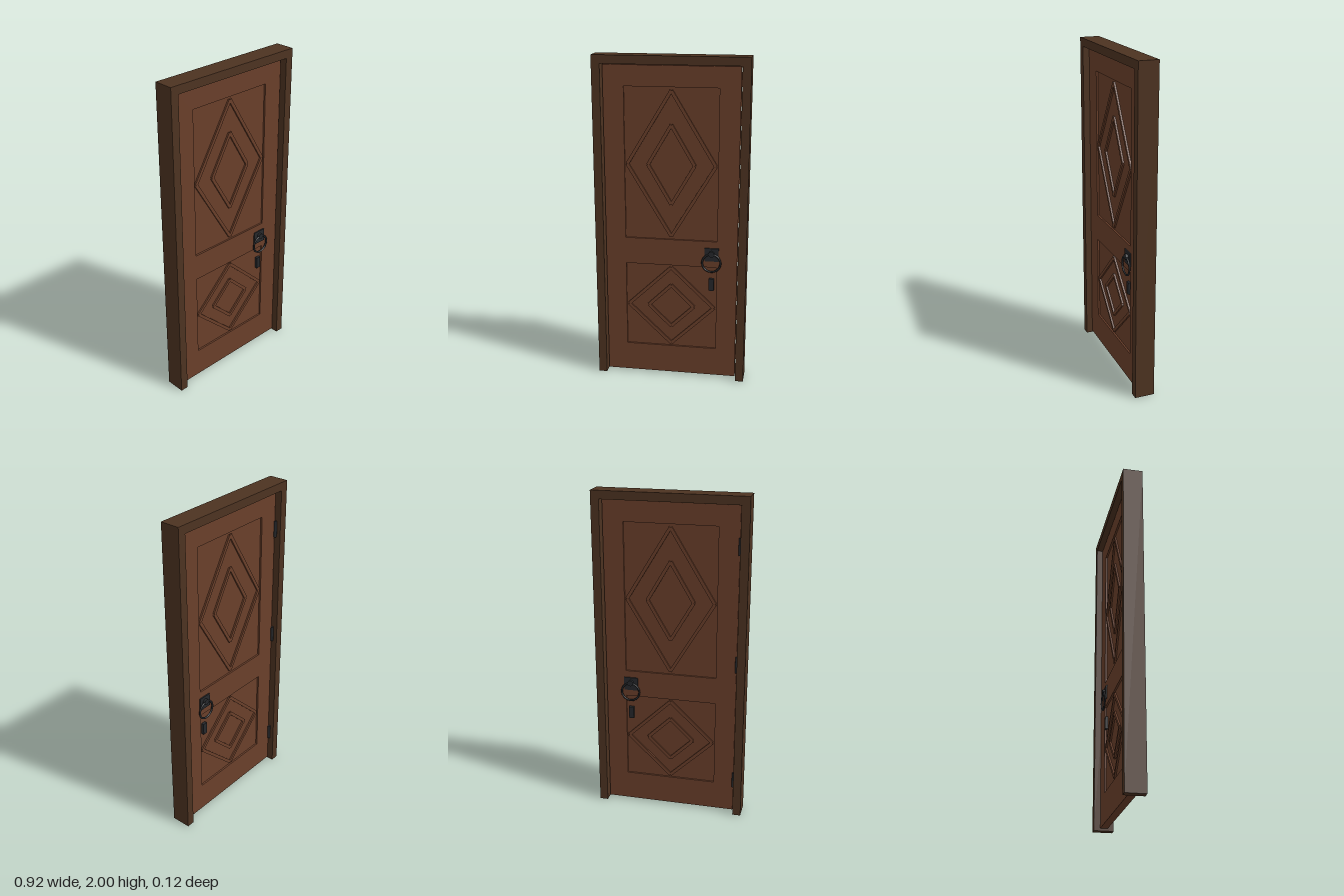
import * as THREE from 'three';

const mat = (name, color) => {
  const m = new THREE.MeshStandardMaterial({ color });
  m.name = name;
  return m;
};

export function createModel() {
  const frameWood = mat('dark frame wood', 0x4d3321);
  const doorWood = mat('red brown door wood', 0x6a3f2a);
  const iron = mat('black iron', 0x26282b);

  const root = new THREE.Group();
  root.name = 'door';

  const add = (parent, name, geo, material, x = 0, y = 0, z = 0) => {
    const mesh = new THREE.Mesh(geo, material);
    mesh.name = name;
    mesh.position.set(x, y, z);
    parent.add(mesh);
    return mesh;
  };
  const box = (parent, name, w, h, d, material, x, y, z) =>
    add(parent, name, new THREE.BoxGeometry(w, h, d), material, x, y, z);

  // Outer frame: one extruded upside-down U
  const u = new THREE.Shape([
    [-0.46, 0], [-0.41, 0], [-0.41, 1.95], [0.41, 1.95],
    [0.41, 0], [0.46, 0], [0.46, 2], [-0.46, 2],
  ].map(([x, y]) => new THREE.Vector2(x, y)));
  const frameGeo = new THREE.ExtrudeGeometry(u, { depth: 0.12, bevelEnabled: false });
  add(root, 'frame', frameGeo, frameWood, 0, 0, -0.06);

  // Door leaf with two openings, each closed by a thinner panel
  const HALF = 0.023, PANEL = 0.012, W = 0.28;
  const rect = (Type, x, y0, y1) => new Type([
    [-x, y0], [x, y0], [x, y1], [-x, y1],
  ].map(([px, py]) => new THREE.Vector2(px, py)));

  const panels = [
    { name: 'upper', y0: 0.9, y1: 1.82, rings: [[0.265, 0.44], [0.14, 0.24]] },
    { name: 'lower', y0: 0.195, y1: 0.735, rings: [[0.265, 0.253], [0.14, 0.136]] },
  ];
  const leaf = rect(THREE.Shape, 0.403, 0.014, 1.943);
  panels.forEach((p) => leaf.holes.push(rect(THREE.Path, W, p.y0, p.y1)));
  const leafGeo = new THREE.ExtrudeGeometry(leaf, { depth: HALF * 2, bevelEnabled: false });
  add(root, 'doorLeaf', leafGeo, doorWood, 0, 0, -HALF);

  for (const p of panels) {
    const cy = (p.y0 + p.y1) / 2;
    box(root, p.name + 'Panel', W * 2, p.y1 - p.y0, PANEL * 2, doorWood, 0, cy, 0);

    // Diamond mouldings: four straight bars each, showing on both faces
    p.rings.forEach(([a, b], i) => {
      const diamond = new THREE.Group();
      diamond.name = p.name + (i ? 'InnerDiamond' : 'OuterDiamond');
      diamond.position.y = cy;
      root.add(diamond);
      for (const sx of [-1, 1]) {
        for (const sy of [-1, 1]) {
          const bar = box(diamond, 'mouldingBar', Math.hypot(a, b), 0.02, HALF * 2 - 0.002,
            doorWood, sx * a / 2, sy * b / 2, 0);
          bar.rotation.z = -sx * sy * Math.atan2(b, a);
        }
      }
    });
  }

  // Ring handle and keyhole plate on both faces
  for (const side of [1, -1]) {
    const handle = new THREE.Group();
    handle.name = side > 0 ? 'frontHandle' : 'backHandle';
    root.add(handle);
    box(handle, 'backPlate', 0.085, 0.082, 0.008, iron, 0.248, 0.817, side * (HALF + 0.004));
    const boss = add(handle, 'ringBoss', new THREE.CylinderGeometry(0.018, 0.018, 0.018, 12),
      iron, 0.248, 0.825, side * (HALF + 0.014));
    boss.rotation.x = Math.PI / 2;
    add(handle, 'pullRing', new THREE.TorusGeometry(0.056, 0.006, 8, 20),
      iron, 0.248, 0.768, side * (HALF + 0.016));
    box(handle, 'keyholePlate', 0.03, 0.076, 0.017, iron, 0.248, 0.623, side * (PANEL + 0.0085));
  }

  // Hinge knuckles on the back of the right edge
  for (const y of [0.23, 1.0, 1.71]) {
    add(root, 'hinge', new THREE.CylinderGeometry(0.01, 0.01, 0.1, 10), iron, -0.405, y, -0.027);
  }

  return root;
}
